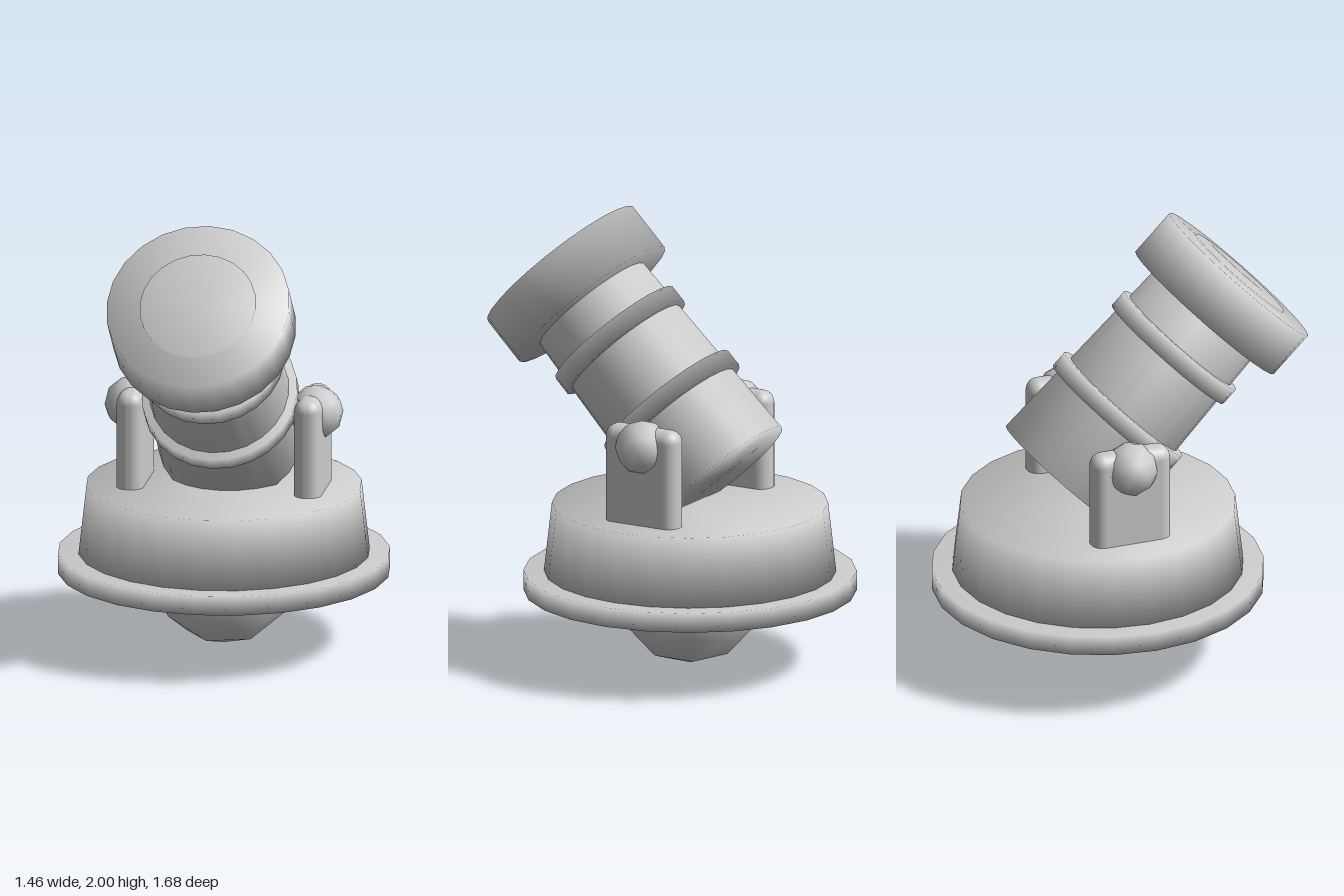
import * as THREE from 'three';
import { RoundedBoxGeometry } from 'three/addons/geometries/RoundedBoxGeometry.js';

export function createModel() {
  const model = new THREE.Group();
  model.name = 'mortar';
  const grey = new THREE.MeshStandardMaterial({ color: 0xcccccc });
  grey.name = 'light grey';

  const add = (parent, name, geometry, x = 0, y = 0, z = 0) => {
    const mesh = new THREE.Mesh(geometry, grey);
    mesh.name = name;
    mesh.position.set(x, y, z);
    parent.add(mesh);
    return mesh;
  };
  // Closed round part with smooth normals, from [radius, height] points
  const turned = (...points) =>
    new THREE.LatheGeometry(points.map(([r, h]) => new THREE.Vector2(r, h)), 24);
  const drum = (y0, y1, r0, r1 = r0) => turned([0, y0], [r0, y0], [r1, y1], [0, y1]);
  // Coarse ball with a vertex at each pole
  const ball = (r) => new THREE.IcosahedronGeometry(r, 1)
    .rotateZ(Math.atan(2 / (1 + Math.sqrt(5)))).rotateY(Math.PI);

  // Base, set back from the centre
  const base = new THREE.Group();
  base.name = 'base';
  base.position.z = -0.11;
  model.add(base);
  add(base, 'bottomBall', ball(0.32), 0, 0.32, 0);
  add(base, 'flange', drum(0.33, 0.417, 0.73), 0, 0, 0);
  add(base, 'turntable', drum(0.4, 0.725, 0.642, 0.605));

  // Brackets and pivot balls on both sides
  for (const side of [1, -1]) {
    const name = side > 0 ? 'left' : 'right';
    add(base, name + 'Bracket', new RoundedBoxGeometry(0.12, 0.56, 0.365, 4, 0.055),
      side * 0.395, 0.88, 0);
    add(base, name + 'PivotBall', ball(0.12), side * 0.41, 1.07, 0);
  }

  // Barrel, tilted 45 degrees up towards the front
  const barrel = new THREE.Group();
  barrel.name = 'barrel';
  barrel.position.set(0, 0.5825, -0.5825);
  barrel.rotation.x = Math.PI / 4;
  model.add(barrel);
  add(barrel, 'tube', drum(0.424, 1.4, 0.322, 0.288));
  add(barrel, 'rearBand', drum(0.76, 0.839, 0.344));
  add(barrel, 'frontBand', drum(1.13, 1.214, 0.326));
  add(barrel, 'muzzleRing', drum(1.375, 1.602, 0.405));
  add(barrel, 'muzzlePlug', drum(1.55, 1.611, 0.257));

  return model;
}
